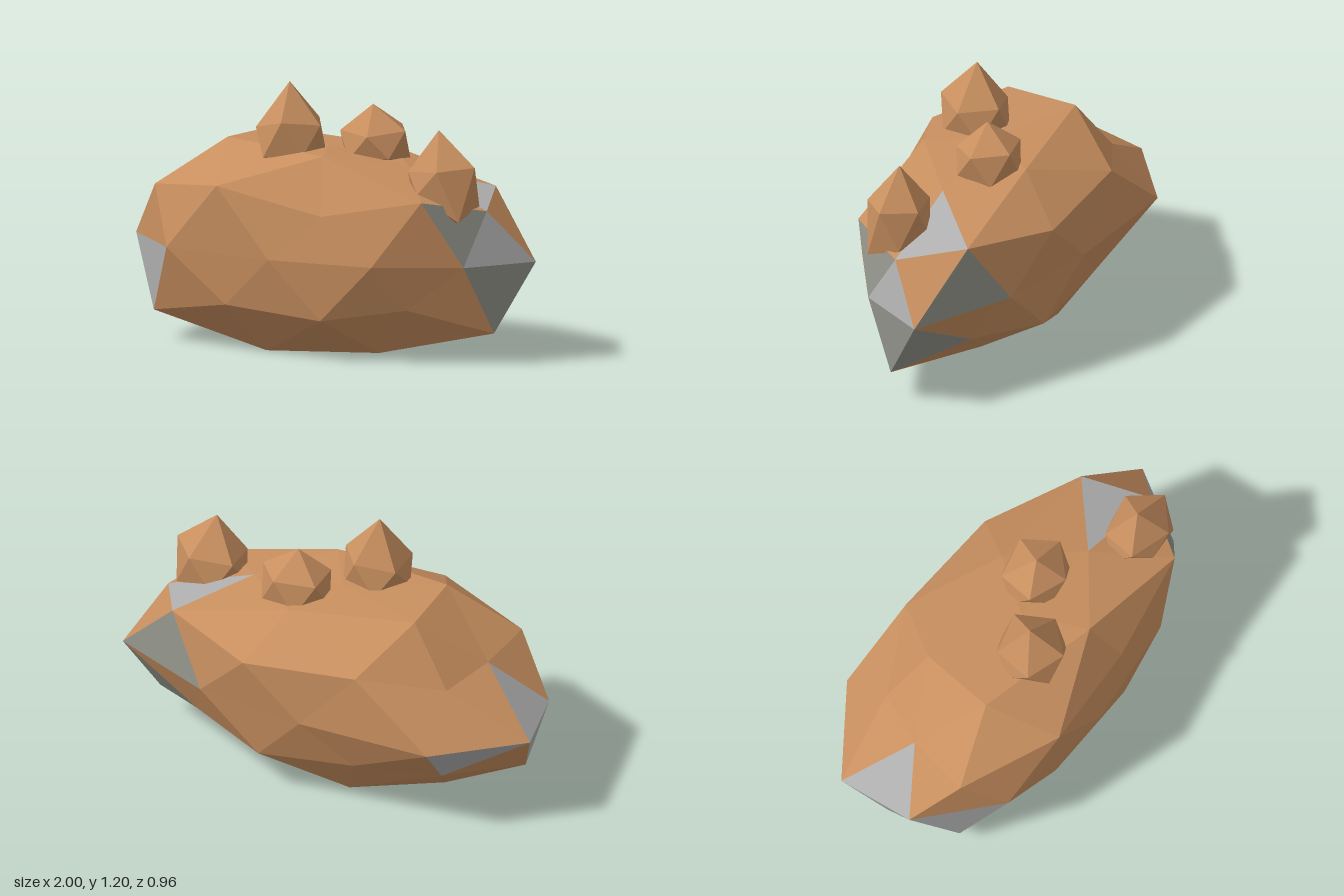
import * as THREE from 'three';

const clay = new THREE.MeshStandardMaterial({ color: 0xc88f5f });
clay.name = 'orange rock';
const paleGrey = new THREE.MeshStandardMaterial({ color: 0xb0b0b0 });
paleGrey.name = 'pale grey stone';
const mossGrey = new THREE.MeshStandardMaterial({ color: 0x92938a });
mossGrey.name = 'dull grey stone';
for (const m of [clay, paleGrey, mossGrey]) m.flatShading = true;

// Unindexed mesh from named points; each face picks its material group
function facetMesh(name, points, faces, materials, pick = () => 0) {
  const geo = new THREE.BufferGeometry();
  const pos = [];
  materials.forEach((_, m) => {
    const start = pos.length / 3;
    for (const f of faces) {
      if (pick(f.join(' ')) === m) f.forEach((k) => pos.push(...points[k]));
    }
    geo.addGroup(start, pos.length / 3 - start, m);
  });
  geo.setAttribute('position', new THREE.Float32BufferAttribute(pos, 3));
  geo.computeVertexNormals();
  const mesh = new THREE.Mesh(geo, materials);
  mesh.name = name;
  return mesh;
}

// Boulder: a once-divided icosahedron, each point pushed in or out
function boulder() {
  const pts = {};
  const put = (key, deg, y, f) => {
    const a = THREE.MathUtils.degToRad(deg), r = Math.sqrt(1 - y * y);
    pts[key] = [Math.cos(a) * r * f, 0.45 + 0.556 * y * f, 0.556 * Math.sin(a) * r * f];
  };
  put('T', 0, 1, 0.83);
  put('B', 0, -1, 0.79);
  [0.84, 0.96, 1.01, 1.01, 0.93].forEach((f, i) => put('U' + i, 72 * i, 0.851, f));
  [0.962, 1.02, 0.83, 1.06, 1.02, 0.835, 0.86, 1.015, 1, 1.03]
    .forEach((f, j) => put('R' + j, 36 * j, j % 2 ? 0.526 : 0.447, f));
  [0.883, 0.85, 0.85, 0.98, 0.98, 1.05, 1.07, 0.85, 0.885, 1.052]
    .forEach((f, j) => put('E' + j, 18 + 36 * j, 0, f));
  [1.058, 0.82, 0.9, 0.925, 1.08, 1, 0.86, 0.83, 0.89, 0.84]
    .forEach((f, j) => put('L' + j, 36 * j, j % 2 ? -0.447 : -0.526, f));
  [0.9, 0.95, 0.95, 0.9, 0.83].forEach((f, i) => put('D' + i, 36 + 72 * i, -0.851, f));

  const U = (i) => 'U' + ((i + 5) % 5), D = (i) => 'D' + ((i + 5) % 5);
  const R = (j) => 'R' + ((j + 10) % 10), E = (j) => 'E' + ((j + 10) % 10);
  const L = (j) => 'L' + ((j + 10) % 10);
  const faces = [];
  for (let i = 0; i < 5; i++) {
    const j = 2 * i;
    faces.push(['T', U(i + 1), U(i)], [U(i), R(j + 1), R(j)],
      [U(i), U(i + 1), R(j + 1)], [U(i + 1), R(j + 2), R(j + 1)],
      [L(j), L(j + 1), D(i)], [L(j + 1), L(j + 2), D(i)],
      [L(j), D(i), D(i - 1)], [D(i), D(i + 1), 'B']);
  }
  for (let j = 0; j < 10; j++) {
    faces.push([R(j), R(j + 1), E(j)], [R(j), E(j), E(j - 1)],
      [E(j - 1), E(j), L(j)], [E(j), L(j + 1), L(j)]);
  }
  // Exposed stone facets at both ends
  const pale = ['R0 E0 E9', 'U0 R0 R9', 'R5 E5 E4', 'E3 E4 L4', 'E5 E6 L6', 'E4 E5 L5'];
  const dull = ['R0 R1 E0', 'E9 E0 L0', 'R9 E9 E8', 'E9 L0 L9'];
  return facetMesh('boulder', pts, faces, [clay, paleGrey, mossGrey],
    (k) => (pale.includes(k) ? 1 : dull.includes(k) ? 2 : 0));
}

// Pointed nub: apex, two staggered rings of five, and a base point
function nub(name, [x, z], apex, [ax, az], upperY, lowerY, rx, rz) {
  const pts = { T: [ax, apex, az], B: [x, Math.min(...lowerY) - 0.03, z] };
  const faces = [];
  for (let i = 0; i < 5; i++) {
    const a = (i * 72 * Math.PI) / 180, b = a + Math.PI / 5, n = (i + 1) % 5;
    pts['U' + i] = [x + rx * Math.cos(a), upperY[i], z + rz * Math.sin(a)];
    pts['L' + i] = [x + rx * Math.cos(b), lowerY[i], z + rz * Math.sin(b)];
    faces.push(['T', 'U' + n, 'U' + i], ['U' + i, 'U' + n, 'L' + i],
      ['U' + n, 'L' + n, 'L' + i], ['L' + i, 'L' + n, 'B']);
  }
  return facetMesh(name, pts, faces, [clay]);
}

export function createModel() {
  const group = new THREE.Group();
  group.name = 'rock';
  group.add(
    boulder(),
    nub('frontNub', [-0.1, 0.15], 1.205, [-0.11, 0.147],
      [1.02, 1.04, 1.0, 1.0, 1.03], [0.89, 0.875, 0.9, 0.88, 0.88], 0.158, 0.157),
    nub('backNub', [0.19, -0.09], 1.1, [0.185, -0.08],
      [0.99, 0.97, 0.98, 0.98, 0.995], [0.87, 0.86, 0.85, 0.84, 0.85], 0.163, 0.145),
    nub('sideNub', [0.685, 0.085], 1.05, [0.665, 0.093],
      [0.895, 0.88, 0.86, 0.86, 0.88], [0.655, 0.77, 0.74, 0.72, 0.71], 0.17, 0.138),
  );
  return group;
}
